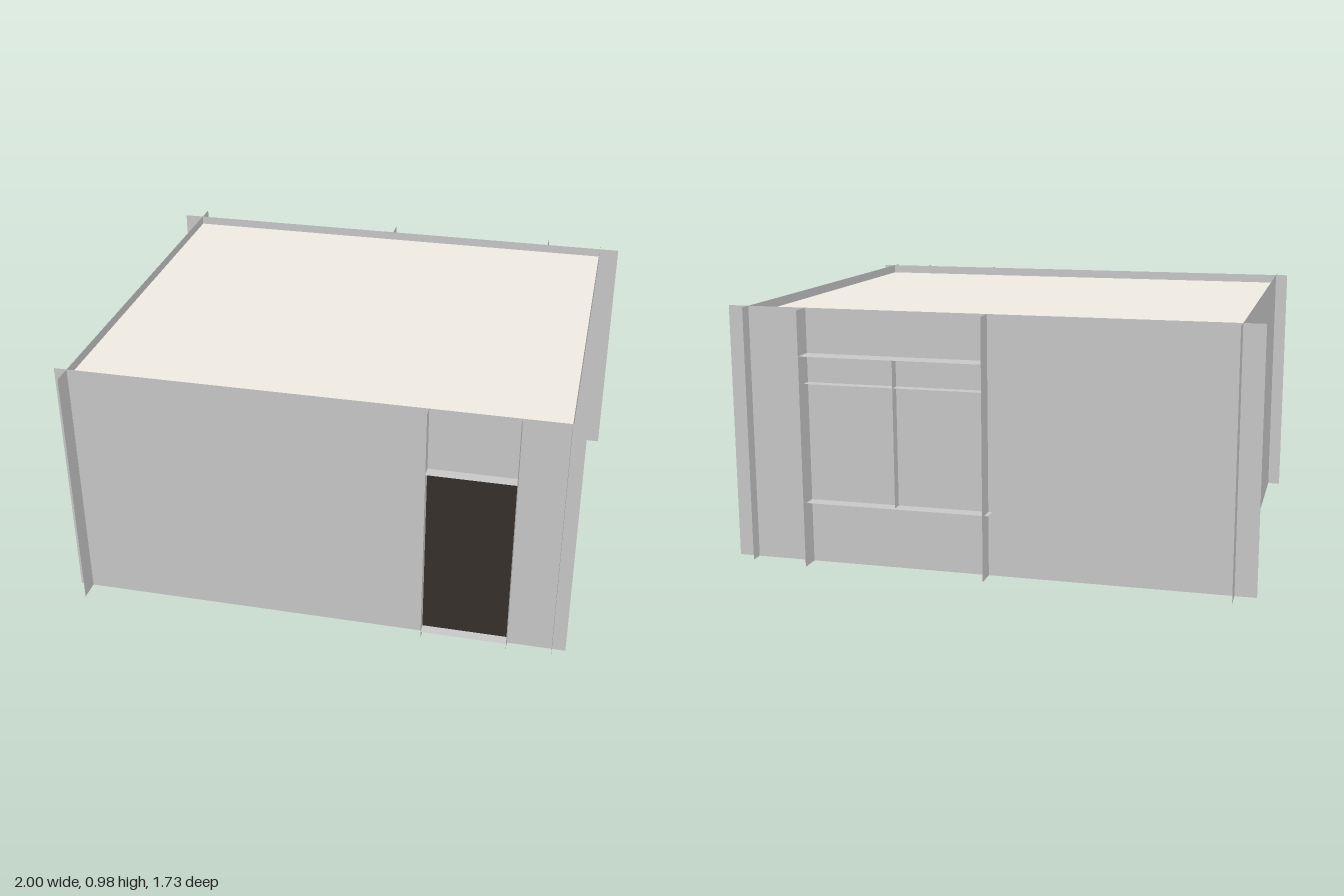
import * as THREE from 'three';
import { mergeGeometries } from 'three/addons/utils/BufferGeometryUtils.js';

const H = 0.98, WX = 0.92, WZ = 0.785, FLOOR = 0.03, ROOF = 0.945;

const material = (color) => new THREE.MeshStandardMaterial({ color, side: THREE.DoubleSide });

// Thin sheets, each given by its span along two axes and its place on the third
function sheetXY(x0, x1, y0, y1, z) {
  return new THREE.PlaneGeometry(x1 - x0, y1 - y0).translate((x0 + x1) / 2, (y0 + y1) / 2, z);
}
function sheetZY(z0, z1, y0, y1, x) {
  return new THREE.PlaneGeometry(z1 - z0, y1 - y0).rotateY(Math.PI / 2)
    .translate(x, (y0 + y1) / 2, (z0 + z1) / 2);
}
function sheetXZ(x0, x1, z0, z1, y) {
  return new THREE.PlaneGeometry(x1 - x0, z1 - z0).rotateX(-Math.PI / 2)
    .translate((x0 + x1) / 2, y, (z0 + z1) / 2);
}

export function createModel() {
  const model = new THREE.Group();
  model.name = 'cabin';
  const grey = material(0xcccccc);
  const roofPaint = material(0xf3efe6);
  const doorPaint = material(0x36302b);

  const add = (name, geometry, mat = grey, parent = model) => {
    const mesh = new THREE.Mesh(geometry, mat);
    mesh.name = name;
    parent.add(mesh);
    return mesh;
  };
  const group = (name) => {
    const g = new THREE.Group();
    g.name = name;
    model.add(g);
    return g;
  };

  // Walls run past each other at the corners; the roof and floor sit between them
  add('frontWall', sheetXY(-0.97, 0.97, 0, H, WZ));
  add('backWall', sheetXY(-1, 1, 0, H, -WZ));
  add('rightWall', sheetZY(-0.835, 0.835, 0, H, WX));
  add('leftWall', sheetZY(-0.865, 0.865, 0, H, -WX));
  add('roof', sheetXZ(-WX, WX, -WZ, WZ, ROOF), roofPaint);
  add('floor', sheetXZ(-WX, WX, -WZ, WZ, FLOOR));

  // Fine upright ribs on one side wall
  const ribs = [];
  const count = 120;
  for (let i = 0; i <= count; i++) {
    const z = -0.76 + (1.51 * i) / count;
    ribs.push(sheetXY(WX, WX + 0.006, 0.065, 0.915, z));
  }
  add('wallRibs', mergeGeometries(ribs));

  // Doorway with full-height fins, canopy and threshold
  const doorway = group('doorway');
  const [dl, dr, dz] = [0.425, 0.75, 0.83];
  add('door', sheetXY(dl, dr, FLOOR, 0.735, WZ + 0.004), doorPaint, doorway);
  for (const x of [dl, dr]) add('doorFin', sheetZY(WZ, dz, 0, H, x), grey, doorway);
  add('doorCanopy', sheetXZ(dl, dr, WZ, dz, 0.735), grey, doorway);
  add('threshold', sheetXZ(dl, dr, WZ, dz, FLOOR), grey, doorway);

  // Window with full-height fins, awning, sill and glazing bars
  const windowBay = group('windowBay');
  const [wl, wr] = [-0.01, 0.69];
  for (const x of [wl, wr]) add('windowFin', sheetZY(-0.865, -WZ, 0, H, x), grey, windowBay);
  add('awning', sheetXZ(wl, wr, -0.865, -WZ, 0.81), grey, windowBay);
  add('sill', sheetXZ(wl - 0.015, wr + 0.015, -0.84, -WZ, 0.245), grey, windowBay);
  add('mullion', sheetZY(-0.825, -WZ, 0.245, 0.81, 0.34), grey, windowBay);
  add('transom', sheetXZ(wl, wr, -0.825, -WZ, 0.7), grey, windowBay);

  return model;
}
